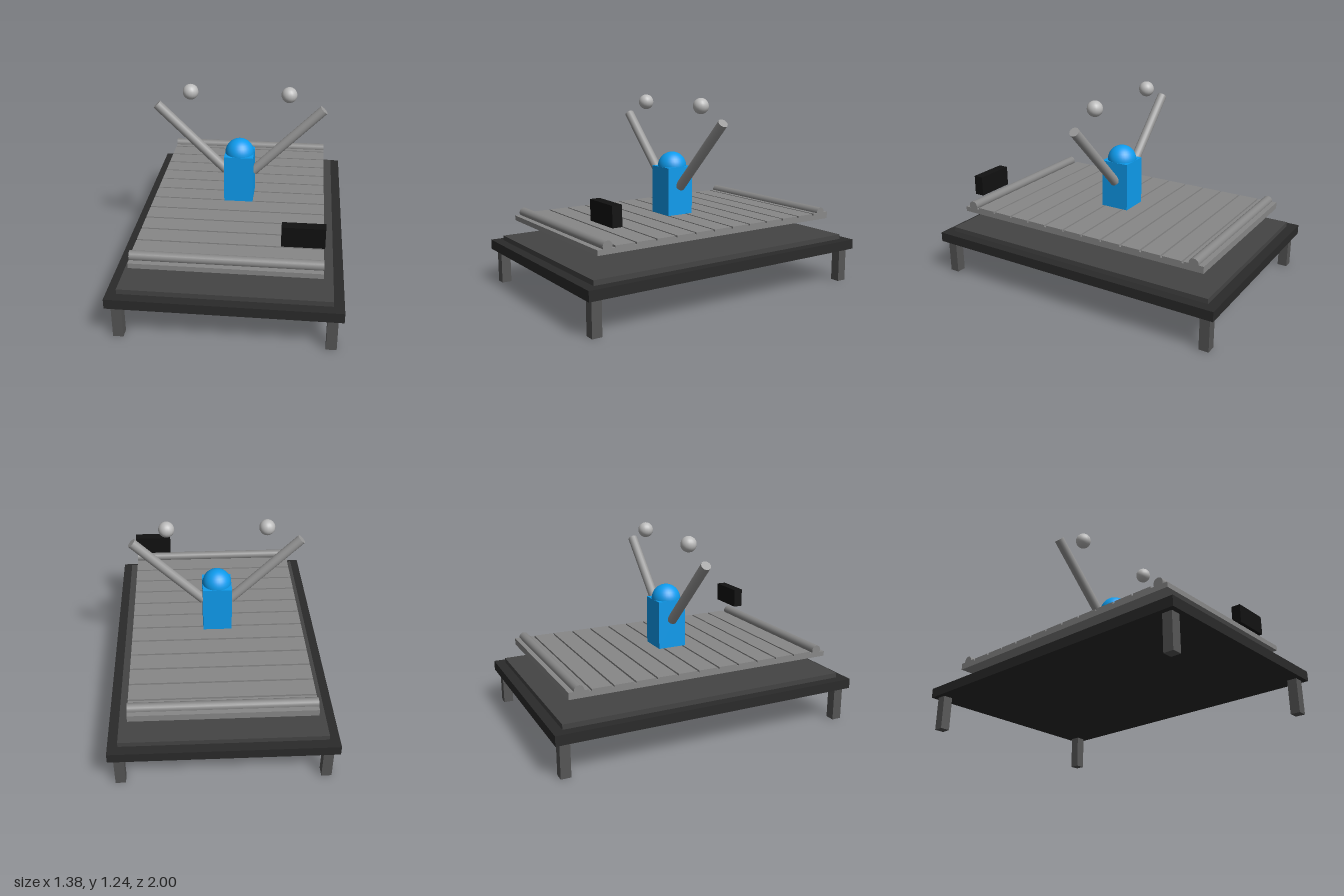
import * as THREE from 'three';

const material = (color) => new THREE.MeshStandardMaterial({ color });

export function createModel() {
  const model = new THREE.Group();
  const black = material(0x111111);
  const frameDark = material(0x2a2a2a);
  const bedDark = material(0x444444);
  const legGrey = material(0x555555);
  const beltGrey = material(0x888888);
  const armGrey = material(0x999999);
  const ballGrey = material(0xbbbbbb);
  const blue = material(0x0e9cee);

  const add = (name, geometry, mat, x, y, z) => {
    const mesh = new THREE.Mesh(geometry, mat);
    mesh.name = name;
    mesh.position.set(x, y, z);
    model.add(mesh);
    return mesh;
  };
  const box = (name, w, h, d, mat, x, y, z) =>
    add(name, new THREE.BoxGeometry(w, h, d), mat, x, y, z);

  // Table: frame, raised bed and four legs
  box('frame', 1.375, 0.0625, 2, frameDark, 0, 0.25, 0);
  box('bed', 1.25, 0.0313, 1.875, bedDark, 0, 0.2969, 0);
  for (const x of [-0.625, 0.625]) {
    for (const z of [-0.9375, 0.9375]) {
      box('leg', 0.0625, 0.2188, 0.0625, legGrey, x, 0.1094, z);
    }
  }

  // Floating platform with cross slats and a roller at each end
  box('platform', 1.125, 0.0313, 1.75, beltGrey, 0, 0.4375, 0);
  for (let i = 0; i < 12; i++) {
    box('slat', 1.125, 0.0125, 0.125, beltGrey, 0, 0.459, -0.8125 + i * 0.1375);
  }
  for (const z of [-0.8125, 0.8125]) {
    const roller = add('roller', new THREE.CylinderGeometry(0.0313, 0.0313, 1.125, 16), beltGrey, 0, 0.4688, z);
    roller.rotation.z = Math.PI / 2;
  }

  // Central column with a dome
  box('column', 0.1875, 0.3125, 0.1875, blue, 0, 0.625, 0);
  add('dome', new THREE.SphereGeometry(0.0938, 32, 16), blue, 0, 0.7813, 0);

  // Mirrored slanting arms, each with a floating ball
  for (const side of [-1, 1]) {
    const arm = add('arm', new THREE.CylinderGeometry(0.0313, 0.0313, 0.625, 16), armGrey, side * 0.3125, 0.875, 0);
    arm.rotation.z = -side * Math.PI / 4;
    add('ball', new THREE.SphereGeometry(0.05, 16, 16), ballGrey, side * 0.3125, 1.1875, 0);
  }

  // Control box on the left front corner
  box('controlBox', 0.25, 0.125, 0.0625, black, 0.4375, 0.625, 0.75);

  return model;
}
